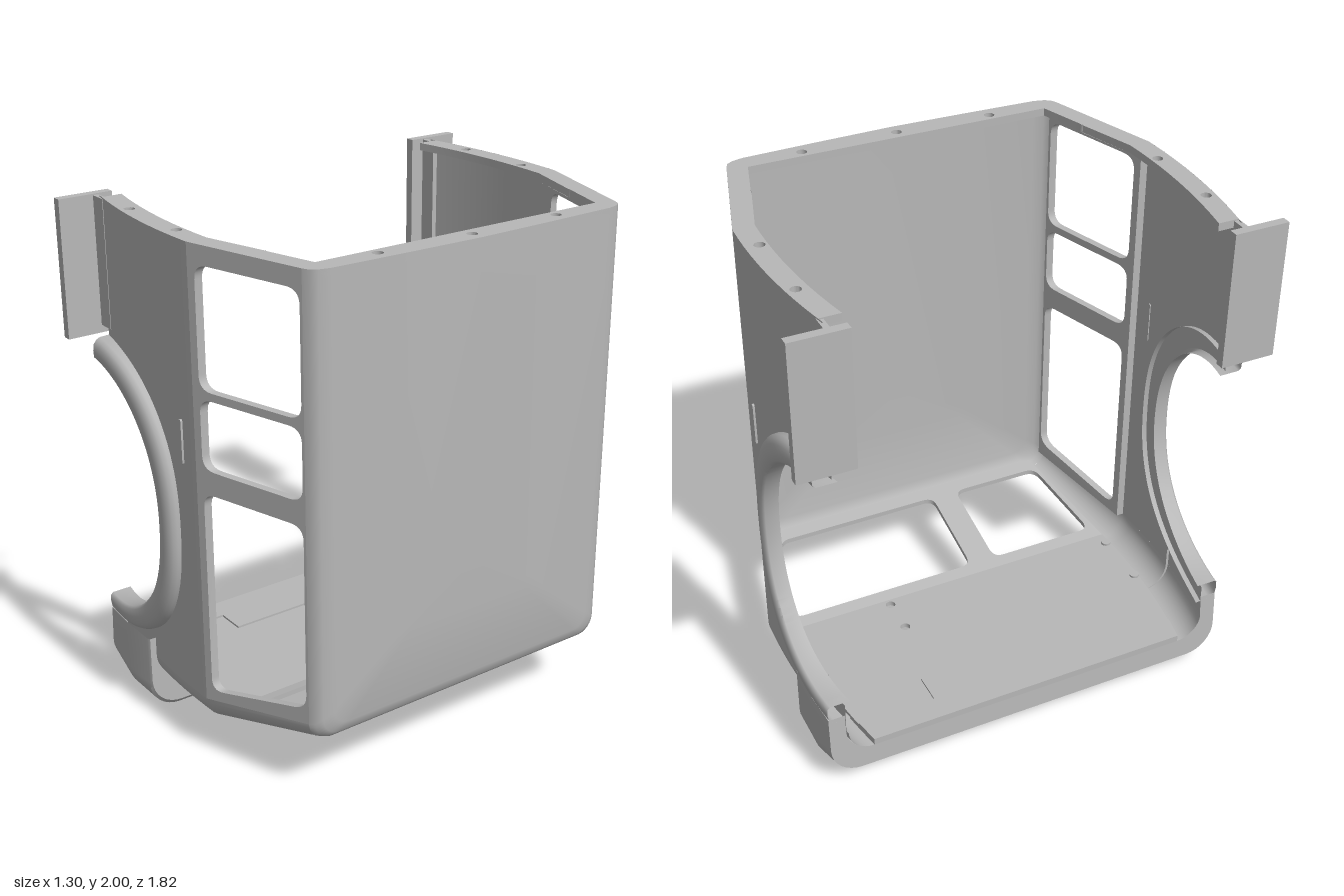
import * as THREE from 'three';
import { toCreasedNormals } from 'three/addons/utils/BufferGeometryUtils.js';

const panelGrey = new THREE.MeshStandardMaterial({ color: 0xb8b8b8, side: THREE.DoubleSide });
panelGrey.name = 'panelGrey';

// Body rules: half width, front panel height and corner radius along x
const KNEE = 0.11;
const halfWidth = x => x < KNEE ? 0.82 - 0.2 * (x + 0.05) ** 2 : 0.815 - (x - KNEE) * 0.294;
const base = x => 0.15 + Math.max(0, x - KNEE) * 0.235;
const radius = x => 0.1 - Math.max(0, x - KNEE) * 0.064;
const steps = (a, b, n) => Array.from({ length: n + 1 }, (_, i) => a + (b - a) * i / n);
const V = (x, y, z) => new THREE.Vector3(x, y, z);

function add(parent, name, geometry, crease = 0.6) {
  const mesh = new THREE.Mesh(toCreasedNormals(geometry, crease), panelGrey);
  mesh.name = name;
  parent.add(mesh);
  return mesh;
}

function box(parent, name, x0, x1, y0, y1, z0, z1) {
  const g = new THREE.BoxGeometry(x1 - x0, y1 - y0, z1 - z0);
  g.translate((x0 + x1) / 2, (y0 + y1) / 2, (z0 + z1) / 2);
  return add(parent, name, g);
}

// Surface through rows of points
function loft(rows) {
  const n = rows[0].length, index = [];
  for (let i = 0; i < rows.length - 1; i++)
    for (let j = 0; j < n - 1; j++) {
      const a = i * n + j, b = a + n;
      index.push(a, b, a + 1, b, b + 1, a + 1);
    }
  const g = new THREE.BufferGeometry().setFromPoints(rows.flat());
  g.setIndex(index);
  g.computeVertexNormals();
  return g;
}

const cornerArc = (x, w, b, r) => steps(0, Math.PI / 2, 8).map(a =>
  V(x, b + r - r * Math.sin(a), w - r + r * Math.cos(a)));

// U-shaped cross-section: side, rounded corner, bottom, and the mirror of these
function uSection(x, w, b, r, top) {
  const half = [V(x, top, w), ...cornerArc(x, w, b, r)];
  return [...half, ...half.map(p => V(p.x, p.y, -p.z)).reverse()];
}

// Closed outline with softened corners
function rounded(path, pts, r) {
  const P = pts.map(p => new THREE.Vector2(...p)), n = P.length;
  P.forEach((p, i) => {
    const toward = q => p.clone().add(q.clone().sub(p).setLength(r));
    const a = toward(P[(i + n - 1) % n]), b = toward(P[(i + 1) % n]);
    i ? path.lineTo(a.x, a.y) : path.moveTo(a.x, a.y);
    path.quadraticCurveTo(p.x, p.y, b.x, b.y);
  });
  path.closePath();
  return path;
}

const roundHole = (x, z, r = 0.02) => new THREE.Path().absarc(x, z, r, 0, Math.PI * 2);

// Extruded sheet whose points are then moved by a rule
function sheet(shape, depth, rule) {
  const g = new THREE.ExtrudeGeometry(shape, { depth, bevelEnabled: false, curveSegments: 8 });
  const p = g.attributes.position;
  for (let i = 0; i < p.count; i++) p.setXYZ(i, ...rule(p.getX(i), p.getY(i), p.getZ(i)));
  g.computeVertexNormals();
  return g;
}

// Wheel arch outline
const ARCH_X = -0.585, ARCH_Y = 0.89;
function archPoint(t, a, b, n) {
  const c = Math.max(0, Math.cos(t)), s = Math.sin(t);
  return [ARCH_X + a * c ** (2 / n), ARCH_Y + b * Math.sign(s) * Math.abs(s) ** (2 / n)];
}

function buildSide() {
  const side = new THREE.Group();

  // Curved side panel around the wheel opening
  const wallRow = (x, y0, y1) => [V(x, y0, halfWidth(x)), V(x, y1, halfWidth(x))];
  const floorY = x => base(x) + radius(x);
  const arch = steps(Math.PI / 2, 0, 24).map(t => archPoint(t, 0.5, 0.51, 2.2));
  add(side, 'sidePanelUpper', loft(arch.map(([x, y]) => wallRow(x, y, 2))));
  add(side, 'sidePanelLower', loft(arch.map(([x, y]) => wallRow(x, floorY(x), 2 * ARCH_Y - y))));
  add(side, 'sidePanelMiddle', loft(steps(-0.085, KNEE, 6).map(x => wallRow(x, floorY(x), 2))));

  // Rounded edge between side and front panel
  add(side, 'lowerCorner', loft([...steps(-0.6, KNEE, 12), 0.58].map(x =>
    cornerArc(x, halfWidth(x), base(x), radius(x)))));

  // Sloping window panel with three openings
  const frame = new THREE.Shape([[KNEE, 2], [KNEE, floorY(KNEE)], [0.58, floorY(0.58)], [0.58, 2]]
    .map(p => new THREE.Vector2(...p)));
  frame.holes = [
    [[0.14, 1.485], [0.57, 1.485], [0.57, 1.93], [0.14, 1.93]],
    [[0.14, 1.19], [0.57, 1.19], [0.57, 1.455], [0.14, 1.455]],
    [[0.14, 0.295], [0.57, 0.39], [0.57, 1.10], [0.14, 1.10]],
  ].map(q => rounded(new THREE.Path(), q, 0.055));
  add(side, 'windowPanel', sheet(frame, 0.03, (x, y, d) => [x, y, halfWidth(x) - 0.03 + d]));

  // Flared wheel arch: inner lip, flat face, rolled outer edge
  const flareZ = x => 0.865 - 0.15 * (x + 0.12) ** 2;
  const profile = [[0, null], [0, -0.012], [0.1, -0.002], [0.4, 0], [0.7, -0.004], [0.88, -0.015], [0.97, -0.03], [1, null]];
  add(side, 'wheelArchFlare', loft(steps(-Math.PI / 2, Math.PI / 2, 48).map(t =>
    profile.map(([k, dz]) => {
      const [x, y] = archPoint(t, 0.485 + 0.09 * k, 0.495 + 0.085 * k, 2.2 + 0.2 * k);
      return V(x, y, dz === null ? halfWidth(x) - 0.02 : flareZ(x) + dz);
    }))), 0.8);

  // End bracket and its web
  box(side, 'bracketPlate', -0.655, -0.62, 1.47, 2, 0.695, 0.91);
  box(side, 'bracketWeb', -0.62, -0.55, 1.5, 1.995, 0.75, 0.772);

  // Small raised handle
  const handle = rounded(new THREE.Shape(), [[0.02, 1.175], [0.036, 1.175], [0.036, 1.345], [0.02, 1.345]], 0.007);
  add(side, 'handle', sheet(handle, 0.012, (x, y, d) => [x, y, halfWidth(x) - 0.004 + d]));

  // Bolt heads on the front panel
  for (const x of [-0.19, 0.05]) {
    const bolt = add(side, 'bolt', new THREE.CylinderGeometry(0.02, 0.02, 0.012, 16));
    bolt.position.set(x, 0.173, 0.7);
  }
  return side;
}

export function createModel() {
  const model = new THREE.Group();
  model.name = 'cabShell';

  const left = buildSide(), right = buildSide();
  left.name = 'frontSide';
  right.name = 'backSide';
  right.scale.z = -1;
  model.add(left, right);

  // Large end panel with softly rolled edges and a slight crown
  add(model, 'roofPanel', loft([
    [0.58, 0.677, 0.261, 0.07], [0.605, 0.665, 0.268, 0.07], [0.62, 0.642, 0.285, 0.07],
    [0.63, 0.6, 0.32, 0.06], [0.64, 0.3, 0.6, 0.03], [0.647, 0, 0.8, 0],
  ].map(s => uSection(...s, 2))), 0.9);

  // Flat front panel with two holes
  const edge = steps(-0.6, KNEE, 12).map(x => new THREE.Vector2(x, halfWidth(x) - radius(x)));
  const mirror = pts => pts.map(p => new THREE.Vector2(p.x, -p.y)).reverse();
  const floor = new THREE.Shape([...edge, ...mirror(edge)]);
  floor.holes = [roundHole(-0.07, -0.3), roundHole(0.08, -0.3)];
  add(model, 'frontPanel', sheet(floor, 0.02, (x, z, d) => [x, 0.17 - d, z]));

  // Stepped plate lying on the front panel
  const step = new THREE.Shape([[-0.6, -0.66], [-0.5, -0.68], [-0.5, -0.37], [-0.38, -0.37], [-0.38, 0.37],
    [-0.5, 0.37], [-0.5, 0.68], [-0.6, 0.66]].map(p => new THREE.Vector2(...p)));
  add(model, 'stepPlate', sheet(step, 0.008, (x, z, d) => [x, 0.178 - d, z]));

  // Sloping windscreen frame with two unequal openings
  const inset = x => halfWidth(x) - radius(x);
  const screen = new THREE.Shape([[KNEE, -inset(KNEE)], [0.6, -inset(0.58)], [0.6, inset(0.58)], [KNEE, inset(KNEE)]]
    .map(p => new THREE.Vector2(...p)));
  screen.holes = [
    [[0.16, -0.69], [0.545, -0.605], [0.545, 0.105], [0.16, 0.105]],
    [[0.16, 0.215], [0.545, 0.215], [0.545, 0.605], [0.16, 0.675]],
  ].map(q => rounded(new THREE.Path(), q, 0.045));
  add(model, 'windscreenFrame', sheet(screen, 0.02, (x, z, d) => [x, base(x) + 0.02 - d, z]));

  // Open rim flange with bolt holes
  const rimX = [...steps(-0.56, KNEE, 10), 0.58];
  const outer = [...rimX.map(x => [x, halfWidth(x)]), [0.605, 0.665], [0.62, 0.642], [0.63, 0.6], [0.64, 0.3], [0.647, 0]]
    .map(p => new THREE.Vector2(...p));
  const inner = [...rimX.slice(0, -1), 0.55].map(x => new THREE.Vector2(x, halfWidth(x) - 0.08));
  const rim = new THREE.Shape([...outer, ...mirror(outer.slice(0, -1)), ...mirror(inner).reverse(), ...inner.slice().reverse()]);
  for (const s of [-1, 1])
    for (const [x, z] of [[-0.36, 0.765], [-0.03, 0.768], [0.36, 0.68], [0.585, 0.385]])
      rim.holes.push(roundHole(x, s * z));
  rim.holes.push(roundHole(0.595, 0));
  add(model, 'rimFlange', sheet(rim, 0.03, (x, z, d) => [x, 2 - d, z]));

  // Wrap-around bumper
  const bumper = [
    [-0.6, 0.765, 0.15, 0.1], [-0.6, 0.83, 0.06, 0.12], [-0.45, 0.84, 0, 0.13], [-0.285, 0.84, 0, 0.13],
    [-0.27, 0.835, 0.018, 0.125], [-0.27, 0.8, 0.15, 0.1],
  ].map(s => uSection(...s, 0.33));
  bumper.slice(0, 2).flat().forEach(p => { p.x += 0.06 * Math.max(0, p.y - 0.06); });
  add(model, 'bumper', loft(bumper), 0.5);

  // Grille ribs on the bumper
  for (let i = 0; i < 5; i++)
    box(model, 'grilleRib', -0.272, -0.264, 0.045 + i * 0.02, 0.052 + i * 0.02, -0.5, 0.5);

  return model;
}
